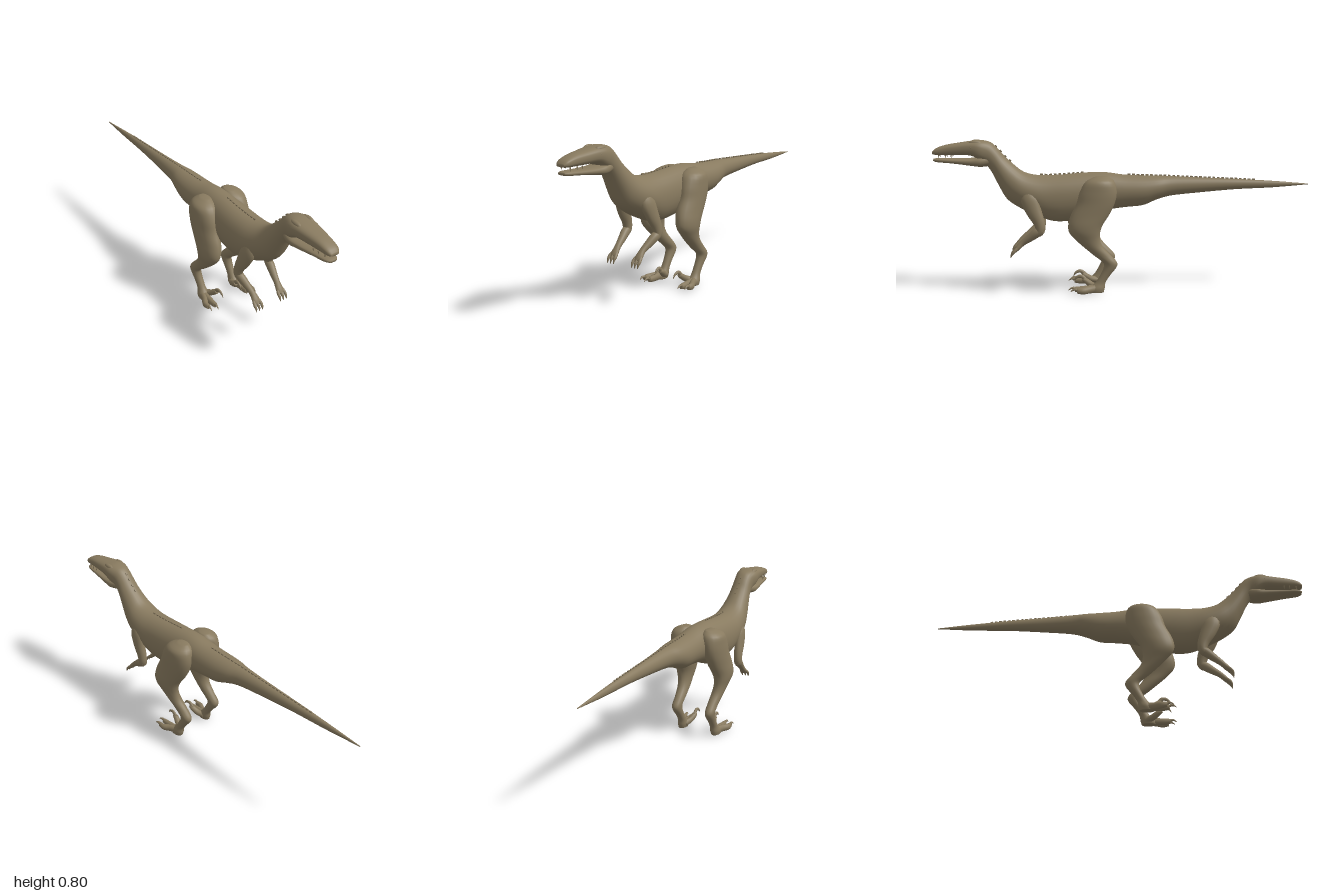
import * as THREE from 'three';

const hide = new THREE.MeshStandardMaterial({ color: 0x887a5f });
hide.name = 'brown hide';

// Catmull-Rom resampling of rows of numbers, all rows of equal length
function resample(rows, steps) {
  const out = [];
  const n = rows.length;
  for (let i = 0; i < n - 1; i++) {
    const [a, b, c, d] = [rows[Math.max(i - 1, 0)], rows[i], rows[i + 1], rows[Math.min(i + 2, n - 1)]];
    for (let s = 0; s < steps; s++) {
      const t = s / steps;
      out.push(b.map((_, k) => 0.5 * (2 * b[k] + (c[k] - a[k]) * t
        + (2 * a[k] - 5 * b[k] + 4 * c[k] - d[k]) * t * t
        + (3 * b[k] - a[k] - 3 * c[k] + d[k]) * t * t * t)));
    }
  }
  out.push(rows[n - 1]);
  return out;
}

// Smooth closed skin over rings { c, u, v, p }; u x v points along the path
function skin(rings, sides) {
  const pos = [], index = [];
  const bend = (x, p) => Math.sign(x) * Math.abs(x) ** p;
  for (const { c, u, v, p = 1 } of rings) {
    for (let j = 0; j < sides; j++) {
      const a = (j / sides) * Math.PI * 2;
      const q = c.clone().addScaledVector(u, bend(Math.cos(a), p)).addScaledVector(v, bend(Math.sin(a), p));
      pos.push(q.x, q.y, q.z);
    }
  }
  const last = rings.length - 1;
  for (let i = 0; i < last; i++) {
    for (let j = 0; j < sides; j++) {
      const k = (j + 1) % sides;
      const a = i * sides + j, b = i * sides + k;
      index.push(a, b, a + sides, b, b + sides, a + sides);
    }
  }
  // End caps
  const first = pos.length / 3;
  for (const r of [rings[0], rings[last]]) pos.push(r.c.x, r.c.y, r.c.z);
  for (let j = 0; j < sides; j++) {
    const k = (j + 1) % sides;
    index.push(first, k, j, first + 1, last * sides + j, last * sides + k);
  }
  const g = new THREE.BufferGeometry();
  g.setAttribute('position', new THREE.Float32BufferAttribute(pos, 3));
  g.setIndex(index);
  g.computeVertexNormals();
  return g;
}

// Rows: zTop, yTop, zBottom, yBottom, halfWidth, corner power
const spineSkin = (rows) => skin(resample(rows, 4).map(([zt, yt, zb, yb, w, p]) => ({
  c: new THREE.Vector3(0, (yt + yb) / 2, (zt + zb) / 2),
  u: new THREE.Vector3(w, 0, 0),
  v: new THREE.Vector3(0, (yt - yb) / 2, (zt - zb) / 2), p,
})), 28);

// Horizontal slices going down: x, y, z, radiusX, radiusZ
const sliceSkin = (rows, s) => skin(resample(rows, 4).map(([x, y, z, rx, rz]) => ({
  c: new THREE.Vector3(x * s, y, z), u: new THREE.Vector3(rx, 0, 0), v: new THREE.Vector3(0, 0, rz),
})), 20);

// Round limb along a path: x, y, z, half width, half depth
function limbSkin(rows, s, sides = 12) {
  const pts = resample(rows, 4);
  const at = (i) => new THREE.Vector3(pts[i][0] * s, pts[i][1], pts[i][2]);
  return skin(pts.map(([, , , w, h = w], i) => {
    const d = at(Math.min(i + 1, pts.length - 1)).sub(at(Math.max(i - 1, 0))).normalize();
    const u = new THREE.Vector3(1, 0, 0).addScaledVector(d, -d.x).normalize();
    const v = d.clone().cross(u).multiplyScalar(h);
    return { c: at(i), u: u.multiplyScalar(w), v };
  }), sides);
}

const BODY = [
  [-1, .565, -1, .561, .002, 1], [-.8, .582, -.8, .546, .013, 1], [-.6, .594, -.6, .538, .024, 1],
  [-.4, .604, -.4, .522, .036, 1], [-.25, .612, -.25, .507, .05, 1], [-.18, .615, -.17, .485, .069, 1],
  [-.1, .617, -.1, .457, .08, 1], [0, .622, 0, .447, .083, 1], [.1, .636, .1, .43, .086, 1],
  [.2, .635, .2, .39, .093, 1], [.3, .627, .3, .376, .097, .95], [.4, .622, .38, .378, .098, .95],
  [.47, .625, .47, .41, .098, 1], [.53, .642, .56, .455, .09, 1], [.58, .68, .62, .5, .076, 1],
  [.63, .727, .66, .57, .064, 1], [.665, .768, .695, .64, .056, .95], [.7, .798, .725, .68, .056, .9],
  [.75, .809, .76, .705, .064, .8], [.8, .805, .8, .728, .06, .75], [.87, .795, .87, .731, .05, .75],
  [.93, .785, .93, .731, .042, .75], [.98, .768, .98, .732, .035, .75], [1, .75, 1, .737, .022, .8],
];

// Height and tilt of the back at a given z
function backAt(z) {
  const i = BODY.findIndex((r) => r[0] > z);
  const [a, b] = [BODY[i - 1], BODY[i]];
  const slope = (b[1] - a[1]) / (b[0] - a[0]);
  return { y: a[1] + slope * (z - a[0]), tilt: -Math.atan(slope) };
}

export function createModel() {
  const model = new THREE.Group();
  const add = (name, geometry, parent = model) => {
    const mesh = new THREE.Mesh(geometry, hide);
    mesh.name = name;
    parent.add(mesh);
    return mesh;
  };

  // Trunk, tail, neck and skull in one skin, with a separate lower jaw
  add('body', spineSkin(BODY));
  add('lowerJaw', spineSkin([
    [.69, .735, .695, .675, .045, .9], [.75, .724, .75, .669, .061, .8], [.8, .715, .8, .675, .056, .75],
    [.9, .714, .9, .688, .043, .75], [.97, .716, .97, .694, .034, .75], [.995, .712, .995, .7, .02, .8],
  ]));

  // Row of low spines along the midline
  const spines = new THREE.Group();
  spines.name = 'backSpines';
  model.add(spines);
  for (const [from, to] of [[-.7, -.02], [.22, .46], [.6, .68]]) {
    for (let z = from; z <= to; z += .024) {
      const { y, tilt } = backAt(z);
      const spine = add('spine', new THREE.BoxGeometry(.006, .01, .014), spines);
      spine.position.set(0, y + .001, z);
      spine.rotation.x = tilt;
    }
  }

  for (const s of [1, -1]) {
    const side = s > 0 ? 'left' : 'right';

    // Brow ridge, eye and teeth
    const brow = add(side + 'Brow', new THREE.SphereGeometry(1, 14, 10));
    brow.scale.set(.014, .013, .035);
    brow.position.set(.036 * s, .796, .775);
    const eye = add(side + 'Eye', new THREE.SphereGeometry(.011, 12, 8));
    eye.position.set(.05 * s, .772, .795);
    for (const [x, z] of [[.034, .93], [.037, .9], [.026, .965]]) {
      const tooth = add(side + 'Tooth', new THREE.ConeGeometry(.004, .018, 6));
      tooth.rotation.x = Math.PI;
      tooth.position.set(x * s, .725, z);
    }

    // Hind leg from hip to sole
    const leg = new THREE.Group();
    leg.name = side + 'HindLeg';
    model.add(leg);
    add('thighAndShin', sliceSkin([
      [.075, .622, .12, .02, .03], [.088, .595, .13, .057, .075], [.098, .54, .14, .057, .097],
      [.102, .48, .155, .055, .1], [.106, .42, .185, .053, .1], [.112, .37, .208, .05, .09],
      [.115, .33, .212, .044, .08], [.112, .29, .195, .036, .063], [.107, .25, .165, .032, .05],
      [.103, .205, .118, .028, .045], [.103, .168, .08, .027, .037], [.102, .14, .08, .025, .034],
      [.101, .1, .105, .022, .027], [.101, .06, .13, .022, .027], [.103, .03, .148, .028, .04],
      [.104, .008, .152, .024, .038],
    ], s), leg);

    // Two ground toes with claws
    for (const [x, z] of [[.105, .265], [.142, .255]]) {
      add('toe', limbSkin([
        [.103, .03, .13, .018, .022], [(x + .103) / 2, .026, .19, .016, .02],
        [x, .024, z - .03, .015, .018], [x, .026, z, .011, .014],
      ], s), leg);
      add('toeClaw', limbSkin([
        [x, .028, z - .01, .009], [x + .003, .034, z + .015, .006], [x + .004, .022, z + .035, .001],
      ], s, 8), leg);
    }
    // Raised inner toe with sickle claw
    add('innerToe', limbSkin([
      [.092, .03, .14, .018], [.075, .04, .175, .017], [.064, .06, .205, .015], [.063, .07, .222, .011],
    ], s), leg);
    add('sickleClaw', limbSkin([
      [.063, .066, .208, .009, .012], [.063, .086, .23, .007, .01], [.061, .08, .256, .005, .007],
      [.06, .06, .272, .001, .001],
    ], s, 8), leg);

    // Foreleg from shoulder to hand
    const arm = new THREE.Group();
    arm.name = side + 'Arm';
    model.add(arm);
    add('upperArm', limbSkin([
      [.07, .54, .5, .02, .03], [.08, .5, .497, .027, .045], [.088, .44, .475, .026, .04],
      [.094, .385, .45, .023, .03], [.096, .345, .443, .022, .025], [.094, .325, .458, .02, .022],
    ], s, 16), arm);
    add('forearm', limbSkin([
      [.096, .345, .432, .019, .019], [.093, .328, .462, .022, .024], [.085, .3, .5, .019, .02],
      [.078, .272, .538, .016, .015], [.076, .245, .565, .021, .013], [.076, .228, .58, .018, .009],
    ], s, 16), arm);
    for (const x of [.057, .076, .095]) {
      add('finger', limbSkin([
        [.076 + (x - .076) * .6, .25, .56, .008], [x, .23, .582, .008], [x, .215, .594, .006],
        [x, .197, .6, .001],
      ], s, 8), arm);
    }
  }
  return model;
}
